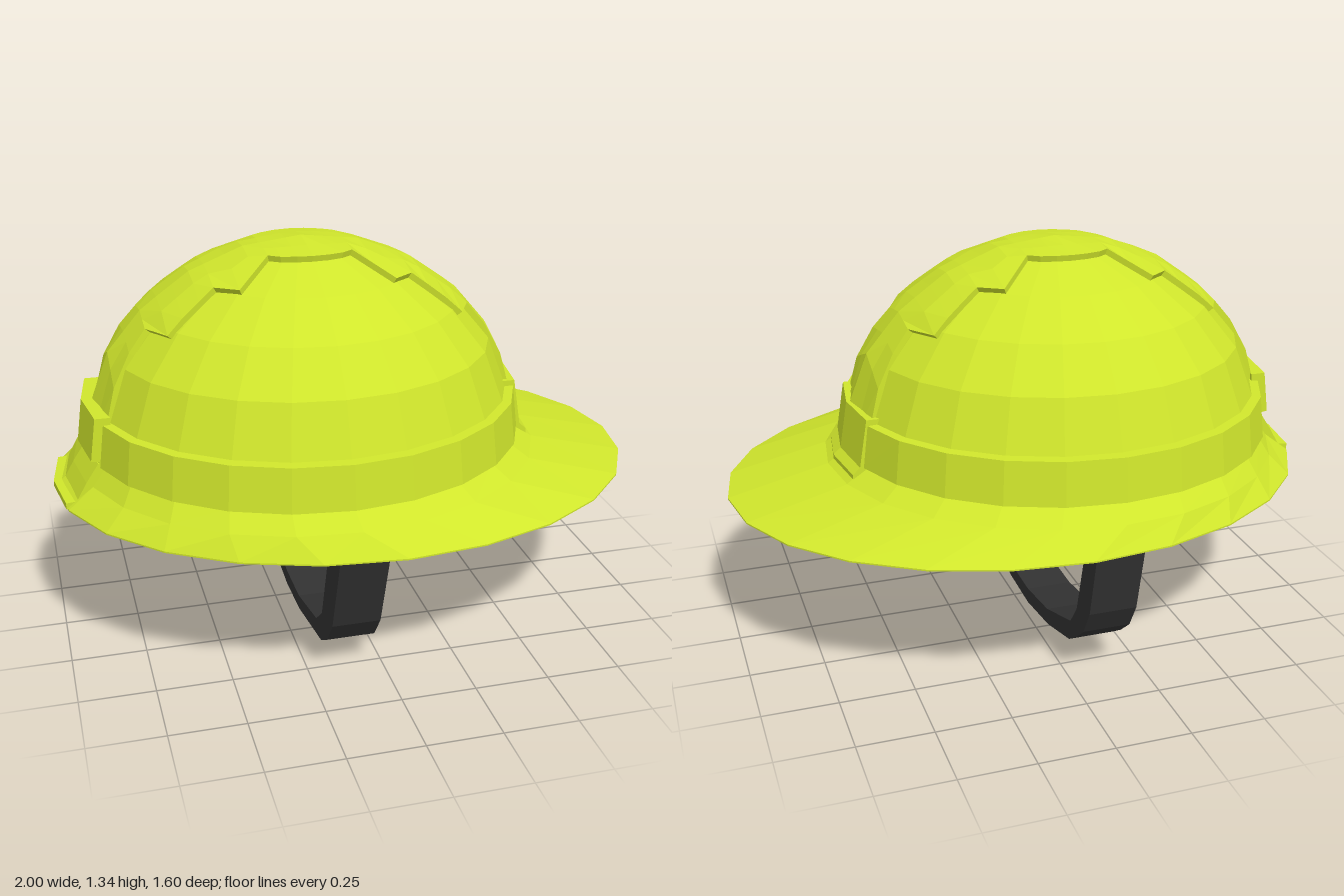
import * as THREE from 'three';

const SEG = 24;
const CX = -0.14; // dome centre in x
const ZR = 0.925; // dome width to length ratio
const shellMat = new THREE.MeshStandardMaterial({ color: 0xd0e62c, flatShading: true });
const strapMat = new THREE.MeshStandardMaterial({ color: 0x333333, flatShading: true });

// Dome profile from the base up: [radius along x, height]
const dome = [[0.73, 0.665], [0.70, 0.81], [0.635, 0.98], [0.52, 1.115], [0.365, 1.225], [0.19, 1.295], [0, 1.318]];

// Skin a grid of points; every row has the same length
function loft(rows) {
  const n = rows[0].length, index = [];
  for (let i = 0; i < rows.length - 1; i++) {
    for (let j = 0; j < n - 1; j++) {
      const a = i * n + j, b = a + 1, c = b + n, d = a + n;
      index.push(a, b, c, a, c, d);
    }
  }
  const geo = new THREE.BufferGeometry();
  geo.setAttribute('position', new THREE.Float32BufferAttribute(rows.flat(2), 3));
  geo.setIndex(index);
  const flat = geo.toNonIndexed();
  flat.computeVertexNormals();
  return flat;
}

// Elliptical ring; tilt raises its front and lowers its back
function ring(cx, rx, rz, y, tilt = 0) {
  return Array.from({ length: SEG + 1 }, (_, k) => {
    const a = (k / SEG) * Math.PI * 2;
    return [cx + rx * Math.cos(a), y + tilt * Math.cos(a), -rz * Math.sin(a)];
  });
}

// Linear lookup in a list of [key, value] with rising keys
function lerpTable(table, k) {
  if (k <= table[0][0]) return table[0][1];
  for (let i = 1; i < table.length; i++) {
    const [k0, v0] = table[i - 1], [k1, v1] = table[i];
    if (k <= k1) return v0 + ((v1 - v0) * (k - k0)) / (k1 - k0);
  }
  return table[table.length - 1][1];
}

// Point on the faceted dome above (u, z), pushed outward by lift
const heights = [...dome].reverse();
function onDome(u, z, lift) {
  const step = (Math.PI * 2) / SEG;
  const phi = Math.abs(Math.atan2(z / ZR, u)) % step;
  const s = Math.hypot(u, z / ZR) * Math.cos(phi - step / 2) / Math.cos(step / 2);
  const p = new THREE.Vector3(u, lerpTable(heights, s) - 0.62, z);
  p.setLength(p.length() + lift);
  return [p.x + CX, p.y + 0.62, p.z];
}

// Extrude an outline, centred on its depth
function slab(points, depth, steps = 1) {
  const shape = new THREE.Shape(points.map(p => new THREE.Vector2(...p)));
  const geo = new THREE.ExtrudeGeometry(shape, { depth, steps, bevelEnabled: false });
  return geo.translate(0, 0, -depth / 2);
}

// Slab across z, bent to follow the curve of the shell
function bentPad(points, side) {
  const geo = slab(points, 0.38, 2), pos = geo.attributes.position;
  for (let i = 0; i < pos.count; i++) {
    pos.setX(i, pos.getX(i) - side * 0.027 * Math.abs(pos.getZ(i)) / 0.19);
  }
  geo.computeVertexNormals();
  return geo;
}

export function createModel() {
  const group = new THREE.Group();
  const add = (name, geo, mat = shellMat) => {
    const mesh = new THREE.Mesh(geo, mat);
    mesh.name = name;
    group.add(mesh);
  };

  // Shell: brim and dome outside, then back down the inside
  const t = 0.018;
  add('shellAndBrim', loft([
    ring(0, 1, 0.8, 0.53),
    ring(0, 1, 0.8, 0.535),
    ring(-0.125, 0.785, 0.735, 0.608, 0.008),
    ...dome.map(([r, y]) => ring(CX, r, r * ZR, y)),
    ...[...dome].reverse().map(([r, y]) => ring(CX, Math.max(r - t, 0), Math.max(r - t, 0) * ZR, y - t * 0.8)),
    ring(-0.125, 0.765, 0.715, 0.59, 0.006),
    ring(0, 1, 0.8, 0.53),
  ]));

  // Raised band round the foot of the dome
  add('band', loft([
    ring(CX, 0.715, 0.66, 0.665),
    ring(CX, 0.745, 0.70, 0.665),
    ring(CX, 0.728, 0.685, 0.81),
    ring(CX, 0.69, 0.64, 0.812),
  ]));

  // Stepped ridge over the dome: half width by distance from the crown
  const width = [[0, 0.175], [0.05, 0.17], [0.1, 0.153], [0.135, 0.128], [0.247, 0.245],
    [0.316, 0.18], [0.47, 0.235], [0.525, 0.125], [0.70, 0.185]];
  const half = [...width.map(w => w[0]), 0.19, 0.365, 0.42, 0.58, 0.635].sort((a, b) => a - b);
  const us = [...half.slice(1).reverse().map(u => -u), ...half];
  add('ridge', loft(us.map(u => {
    const w = lerpTable(width, Math.abs(u));
    const top = [-1, -0.5, 0, 0.5, 1].map(k => onDome(u, k * w, 0.021));
    return [onDome(u, -w, -0.012), ...top, onDome(u, w, -0.012)];
  })));

  // Front pad with a small lip resting on the brim
  add('frontPad', bentPad([[0.54, 0.83], [0.54, 0.68], [0.58, 0.62], [0.64, 0.622],
    [0.64, 0.645], [0.615, 0.668], [0.588, 0.83]], 1));

  // Rear pad, and the strip running from it down to the rim
  add('rearPad', bentPad([[-0.84, 0.835], [-0.89, 0.835], [-0.91, 0.69], [-0.84, 0.68]], -1));
  add('rearStrip', bentPad([[-0.85, 0.68], [-0.888, 0.68], [-0.93, 0.617], [-0.965, 0.555],
    [-1, 0.552], [-1, 0.53], [-0.96, 0.535], [-0.9, 0.6]], -1));

  // Chin strap: outline in z and y, outer edge then inner edge
  add('chinStrap', slab([[0.69, 0.62], [0.71, 0.53], [0.70, 0.49], [0.60, 0.21], [0.53, 0.12], [0.45, 0.07],
    [0.13, 0.008], [-0.07, 0], [-0.29, 0.03], [-0.50, 0.09], [-0.56, 0.13], [-0.63, 0.19],
    [-0.68, 0.28], [-0.73, 0.50], [-0.725, 0.57], [-0.69, 0.62], [-0.635, 0.62],
    [-0.635, 0.50], [-0.565, 0.24], [-0.51, 0.165], [-0.28, 0.085], [-0.07, 0.055], [0.12, 0.057],
    [0.38, 0.115], [0.46, 0.18], [0.54, 0.41], [0.57, 0.53], [0.585, 0.61]], 0.16)
    .rotateY(-Math.PI / 2).translate(-0.11, 0, 0), strapMat);

  return group;
}
